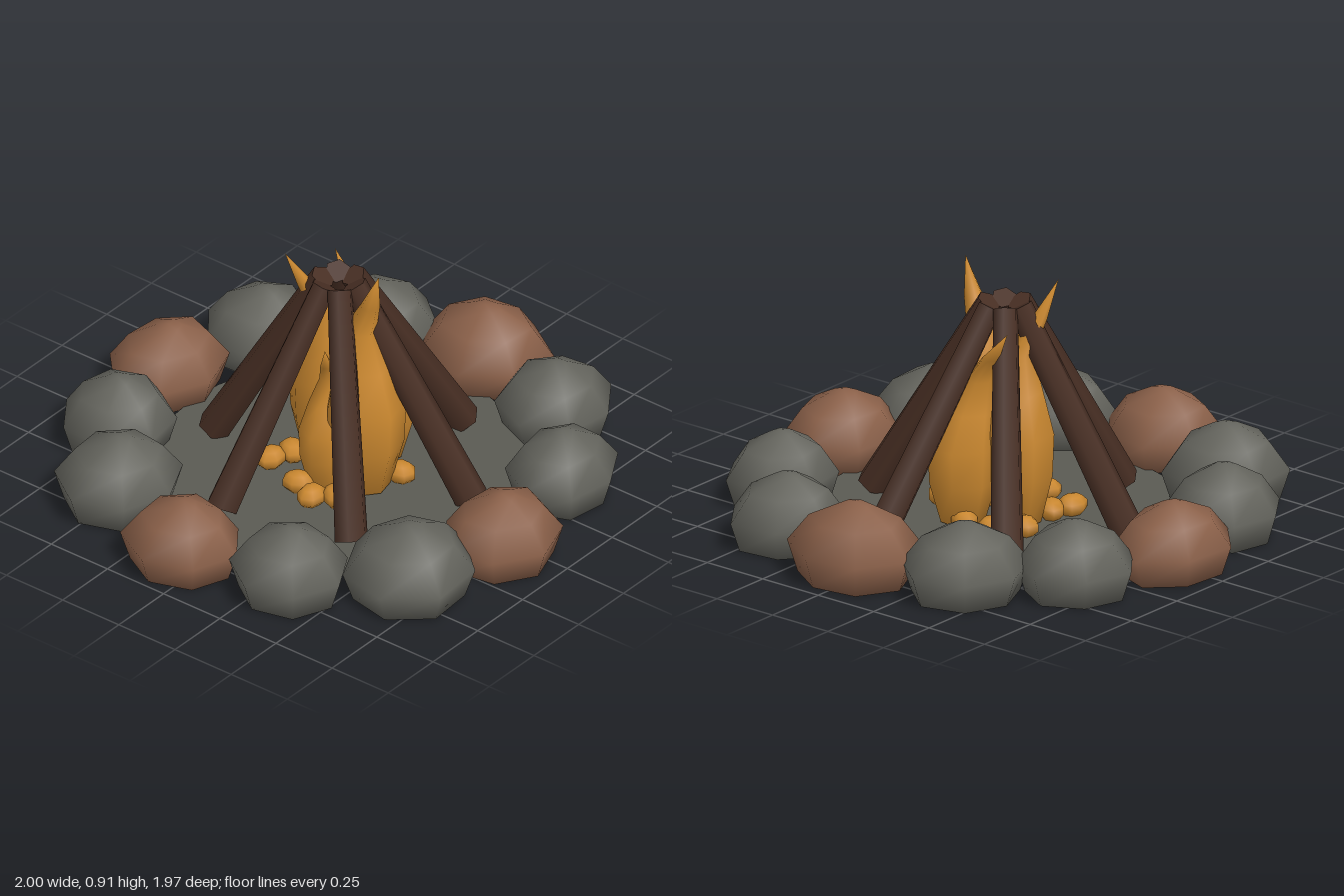
import * as THREE from 'three';
import { mergeVertices } from 'three/addons/utils/BufferGeometryUtils.js';

const mat = (color) => new THREE.MeshStandardMaterial({ color, roughness: 0.9 });

// small seeded generator, returns -1..1
let seed = 7;
const rnd = () => {
  seed = (seed * 16807) % 2147483647;
  return (seed / 2147483647) * 2 - 1;
};

// skin a stack of rings [x, y, z, radiusX, radiusZ]; wobble shifts each side's radius, spin turns it
function loft(rings, sides, spin = 0, wobble = () => 1) {
  const pos = [];
  const idx = [];
  rings.forEach(([x, y, z, rx, rz], j) => {
    for (let i = 0; i < sides; i++) {
      const a = spin + (i / sides) * Math.PI * 2;
      const w = wobble(i, j);
      pos.push(x + Math.cos(a) * rx * w, y, z + Math.sin(a) * rz * w);
      if (j === rings.length - 1) continue;
      const p = j * sides + i;
      const q = j * sides + ((i + 1) % sides);
      idx.push(p, p + sides, q, q, p + sides, q + sides);
    }
  });
  let g = new THREE.BufferGeometry();
  g.setAttribute('position', new THREE.Float32BufferAttribute(pos, 3));
  g.setIndex(idx);
  g = mergeVertices(g);
  g.computeVertexNormals();
  return g;
}

export function createModel() {
  seed = 7;
  const root = new THREE.Group();
  const grey = mat(0x64645d);
  const brown = mat(0x8a6049);
  const bark = mat(0x472e23);
  const fire = mat(0xc9872f);
  const add = (geometry, material, name, parent = root) => {
    const m = new THREE.Mesh(geometry, material);
    m.name = name;
    parent.add(m);
    return m;
  };
  const group = (name) => {
    const g = new THREE.Group();
    g.name = name;
    root.add(g);
    return g;
  };

  // ash bed
  const bed = add(new THREE.CylinderGeometry(0.67, 0.67, 0.012, 32), mat(0x5a5a53), 'ashBed');
  bed.position.y = 0.007;

  // ring of stones: x, z, half width, half depth, height (every third is brown)
  const stones = [
    [0.785, 0.01, 0.215, 0.235, 0.285], [0.67, -0.39, 0.22, 0.22, 0.27], [0.41, -0.67, 0.205, 0.21, 0.27],
    [0.03, -0.8, 0.225, 0.19, 0.26], [-0.35, -0.72, 0.2, 0.205, 0.27], [-0.65, -0.48, 0.22, 0.22, 0.275],
    [-0.805, -0.065, 0.195, 0.215, 0.26], [-0.715, 0.335, 0.205, 0.21, 0.265], [-0.45, 0.655, 0.235, 0.225, 0.27],
    [-0.08, 0.775, 0.22, 0.2, 0.26], [0.36, 0.69, 0.205, 0.19, 0.26], [0.675, 0.405, 0.205, 0.205, 0.265],
  ];
  const ring = group('stoneRing');
  stones.forEach(([x, z, w, d, h], k) => {
    const side = Array.from({ length: 7 }, () => 1 + rnd() * 0.05);
    const layers = [[0, 0], [0, 0.87], [0.4, 1.03], [0.76, 0.7], [0.96, 0.22], [1, 0]];
    const rings = layers.map(([y, s]) => [x, y * h, z, w * s, d * s]);
    const geometry = loft(rings, 7, rnd() * 0.5, (i) => side[i]);
    add(geometry, k % 3 === 0 ? brown : grey, 'stone', ring);
  });

  // six logs leaning together
  const logs = group('logs');
  for (let k = 0; k < 6; k++) {
    const a = ((18 + 60 * k) * Math.PI) / 180;
    const foot = new THREE.Vector3(Math.cos(a) * 0.5, 0.03, Math.sin(a) * 0.5);
    const top = new THREE.Vector3(Math.cos(a) * 0.06 - 0.01, 0.79, Math.sin(a) * 0.06 - 0.01);
    const dir = top.clone().sub(foot);
    const log = add(new THREE.CylinderGeometry(0.046, 0.062, dir.length(), 6), bark, 'log', logs);
    log.position.copy(foot).add(top).multiplyScalar(0.5);
    log.quaternion.setFromUnitVectors(new THREE.Vector3(0, 1, 0), dir.normalize());
  }

  // leaf-shaped flames: base x, base z, tip x, tip y, tip z, radius
  const flames = [
    [-0.04, 0.13, -0.05, 0.91, 0.2, 0.145],
    [0.03, -0.11, -0.11, 0.89, -0.17, 0.125],
    [0.15, 0.05, 0.17, 0.765, -0.17, 0.13],
    [-0.13, 0.02, -0.2, 0.63, 0.08, 0.09],
  ];
  const blaze = group('flames');
  // height, radius, pull towards the middle, share of the tip's lean
  const leaf = [
    [0, 0, 0, 0], [0, 0.62, 0, 0], [0.2, 0.95, 0, 0], [0.38, 1, 0, 0], [0.55, 0.72, 0.15, 0.05],
    [0.7, 0.4, 0.3, 0.2], [0.84, 0.24, 0.1, 0.6], [1, 0, 0, 1],
  ];
  flames.forEach(([bx, bz, tx, ty, tz, r], k) => {
    const rings = leaf.map(([h, s, pull, lean]) => [
      THREE.MathUtils.lerp(bx, tx, lean) * (1 - pull),
      THREE.MathUtils.lerp(0.02, ty, h),
      THREE.MathUtils.lerp(bz, tz, lean) * (1 - pull),
      r * s, r * s,
    ]);
    add(loft(rings, 7, k * 0.7), fire, 'flame', blaze);
  });

  // glowing embers around the base
  const embers = group('embers');
  const spots = [[-0.25, 0.06], [-0.2, 0.13], [-0.21, -0.03], [-0.15, -0.2], [-0.07, -0.17],
    [0.12, -0.2], [0.19, -0.12], [0.2, 0.0], [0.06, 0.21]];
  spots.forEach(([x, z], k) => {
    const ember = add(new THREE.SphereGeometry(0.055, 7, 5), fire, 'ember', embers);
    ember.position.set(x, 0.045, z);
    ember.scale.set(1.1, 0.75, 0.9);
    ember.rotation.y = k;
  });

  return root;
}
